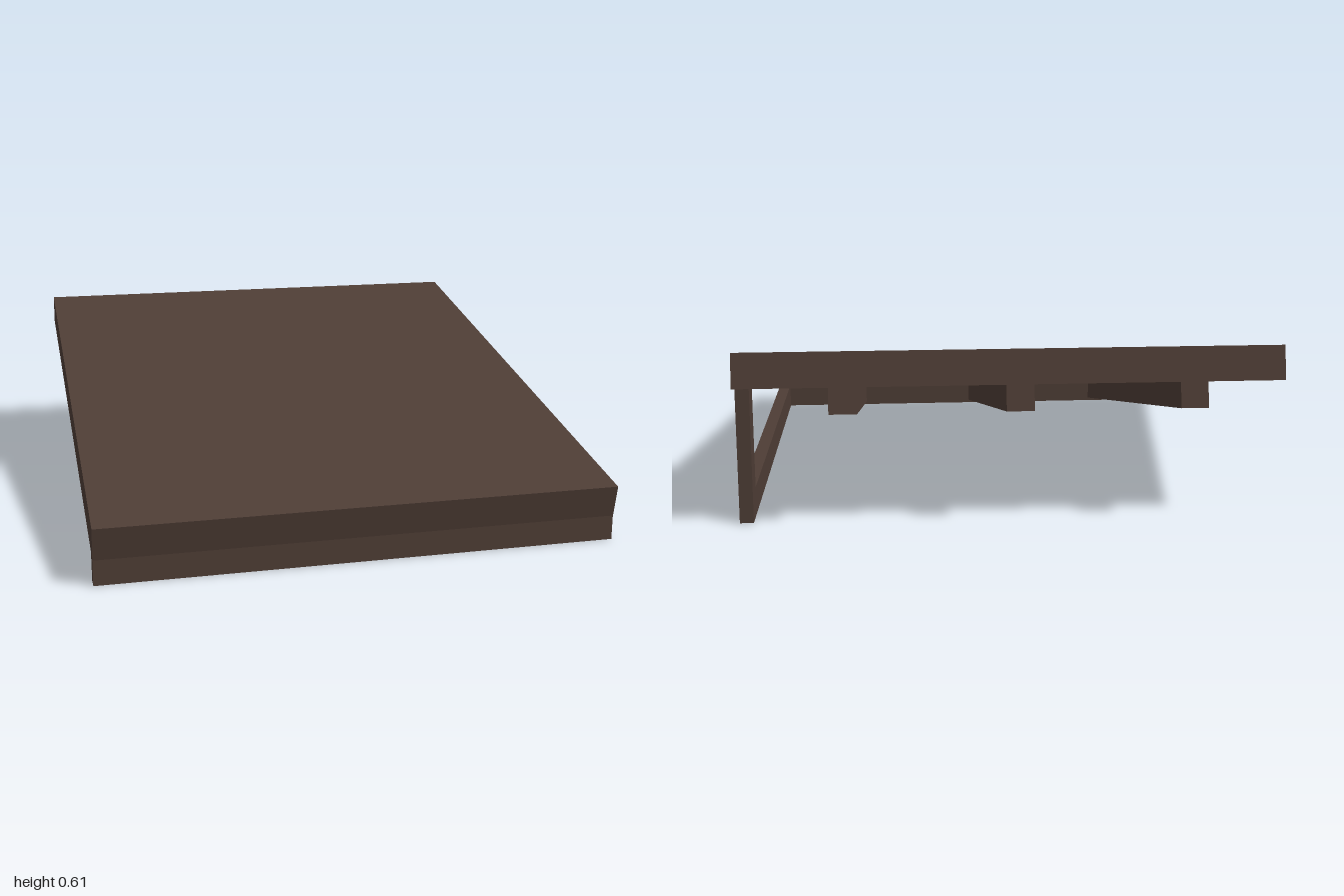
import * as THREE from 'three';

export function createModel() {
  const model = new THREE.Group();
  model.name = 'slopedDeck';
  const wood = new THREE.MeshStandardMaterial({ color: 0x4e3d35 });
  wood.name = 'darkWood';

  // Box given by its minimum and maximum corners
  function board(name, parent, [x0, y0, z0], [x1, y1, z1]) {
    const mesh = new THREE.Mesh(new THREE.BoxGeometry(x1 - x0, y1 - y0, z1 - z0), wood);
    mesh.position.set((x0 + x1) / 2, (y0 + y1) / 2, (z0 + z1) / 2);
    mesh.name = name;
    parent.add(mesh);
    return mesh;
  }

  // Tilted deck, hinged at its front top edge
  const rise = 0.4, run = 1.956;
  const length = Math.hypot(rise, run);
  const thick = 0.117;
  const deck = new THREE.Group();
  deck.name = 'tiltedDeck';
  deck.position.set(0, 0.205, 1);
  deck.rotation.x = Math.atan2(rise, run);
  model.add(deck);
  board('slab', deck, [-0.91, -thick, -length], [0.906, 0, 0]);

  // Three rafters under the slab
  for (const x of [-0.603, -0.026, 0.551]) {
    board('rafter', deck, [x - 0.046, -0.204, -length], [x + 0.046, -thick, -0.03]);
  }

  // Front sill, carrying the low edge
  board('frontSill', model, [-0.91, 0, 0.924], [0.909, 0.098, 0.97]);

  // Support frame on the left side: ground rail and post
  board('sideRail', model, [0.863, 0, -0.755], [0.91, 0.098, 0.924]);

  // Post with its top cut to the slope (shape drawn in z and y)
  const cut = new THREE.Shape([
    new THREE.Vector2(0.755, 0), new THREE.Vector2(0.85, 0),
    new THREE.Vector2(0.85, 0.47), new THREE.Vector2(0.755, 0.45),
  ]);
  const post = new THREE.Mesh(
    new THREE.ExtrudeGeometry(cut, { depth: 0.047, bevelEnabled: false }), wood);
  post.name = 'rearPost';
  post.rotation.y = Math.PI / 2;
  post.position.x = 0.863;
  model.add(post);

  return model;
}
